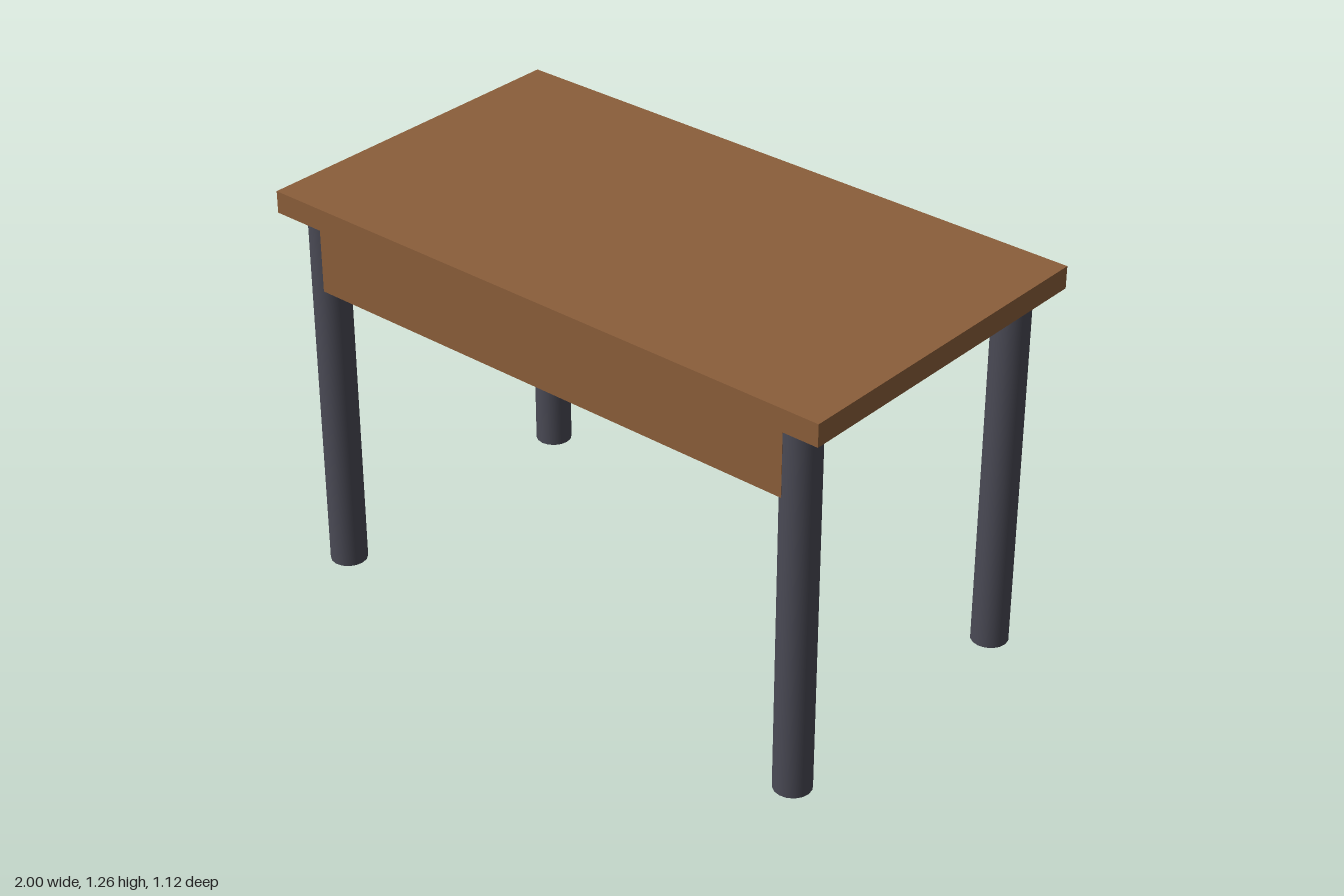
import * as THREE from 'three';

const TOP_Y = 1.265, LEG_H = 1.195, LEG_R = 0.058;
const LEG_X = 0.883, LEG_Z = 0.472;

export function createModel() {
  const group = new THREE.Group();
  const wood = new THREE.MeshStandardMaterial({ color: 0x8b5e3a });
  const metal = new THREE.MeshStandardMaterial({ color: 0x4a4a55 });

  const add = (name, geometry, material, x, y, z) => {
    const mesh = new THREE.Mesh(geometry, material);
    mesh.name = name;
    mesh.position.set(x, y, z);
    group.add(mesh);
  };

  // Table top slab
  add('tableTop', new THREE.BoxGeometry(2, TOP_Y - LEG_H, 1.115), wood, 0, (TOP_Y + LEG_H) / 2, 0);

  // Drawer box under the front edge, between the front legs
  add('frontApron', new THREE.BoxGeometry(1.72, 0.225, 0.112), wood, 0, LEG_H - 0.1125, 0.47);

  // Four round legs
  const legGeometry = new THREE.CylinderGeometry(LEG_R, LEG_R, LEG_H, 16);
  for (const [side, sx] of [['Left', 1], ['Right', -1]]) {
    for (const [end, sz] of [['front', 1], ['back', -1]]) {
      add(`${end}${side}Leg`, legGeometry, metal, sx * LEG_X, LEG_H / 2, sz * LEG_Z);
    }
  }
  return group;
}
